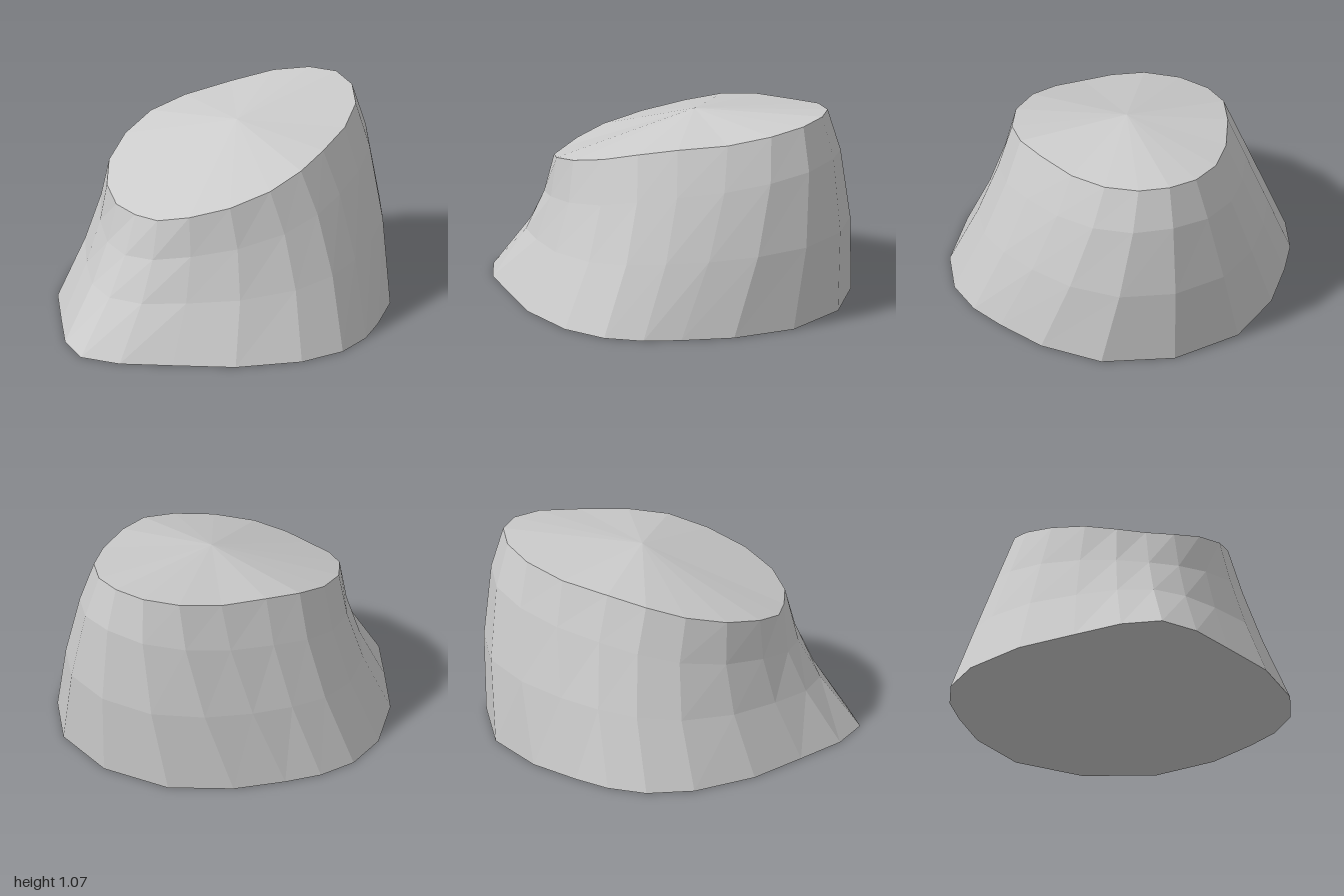
import * as THREE from 'three';

// Half outlines from front to back, on the +x side
const base = [[0, 0, 1], [0.205, 0, 0.915], [0.42, 0, 0.73], [0.67, 0, 0.51], [0.865, 0, 0.21], [0.92, 0, -0.04],
  [0.88, 0, -0.25], [0.79, 0, -0.43], [0.64, 0, -0.67], [0.38, 0, -0.9], [0, 0, -0.99]];
const rim = [[0, 0.7, 0.595], [0.155, 0.71, 0.583], [0.31, 0.75, 0.5], [0.455, 0.8, 0.34], [0.545, 0.86, 0.13], [0.565, 0.92, -0.08],
  [0.52, 0.96, -0.29], [0.43, 0.99, -0.54], [0.31, 1.03, -0.74], [0.16, 1.057, -0.86], [0, 1.07, -0.9]];

// Blend of the two outlines, pushed backwards by a small shift
const between = (front, back, shift) => base.map((p, i) => {
  const t = front + (back - front) * i / 10;
  return p.map((v, k) => v + (rim[i][k] - v) * t + (k === 2 ? shift : 0));
});

// Mirror a half outline into a closed ring
const closeRing = half => [...half, ...half.slice(1, -1).reverse().map(([x, y, z]) => [-x, y, z])];

function facetedMesh(name, triangles, material) {
  const geometry = new THREE.BufferGeometry();
  geometry.setAttribute('position', new THREE.Float32BufferAttribute(triangles.flat(2), 3));
  geometry.computeVertexNormals();
  const mesh = new THREE.Mesh(geometry, material);
  mesh.name = name;
  return mesh;
}

// Fan of triangles from a centre point to a ring
const fan = (ring, centre, up) => ring.map((p, i) => {
  const q = ring[(i + 1) % ring.length];
  return up ? [centre, p, q] : [centre, q, p];
});

export function createModel() {
  const group = new THREE.Group();
  group.name = 'slantedStump';
  const material = new THREE.MeshStandardMaterial({ color: 0xcccccc, flatShading: true });
  const rings = [base, between(0.4, 0.41, -0.05), between(0.7, 0.79, -0.045), rim].map(closeRing);

  // Side wall: three bands of facets
  const wall = [];
  for (let r = 0; r < rings.length - 1; r++) {
    const low = rings[r], high = rings[r + 1], n = low.length;
    for (let i = 0; i < n; i++) {
      const j = (i + 1) % n;
      wall.push([low[i], low[j], high[j]], [low[i], high[j], high[i]]);
    }
  }
  group.add(facetedMesh('sideWall', wall, material));

  // Sloping top and flat underside
  group.add(facetedMesh('slopingTop', fan(rings[3], [0, 1.02, -0.16], true), material));
  group.add(facetedMesh('underside', fan(rings[0], [0, 0, 0], false), material));
  return group;
}
